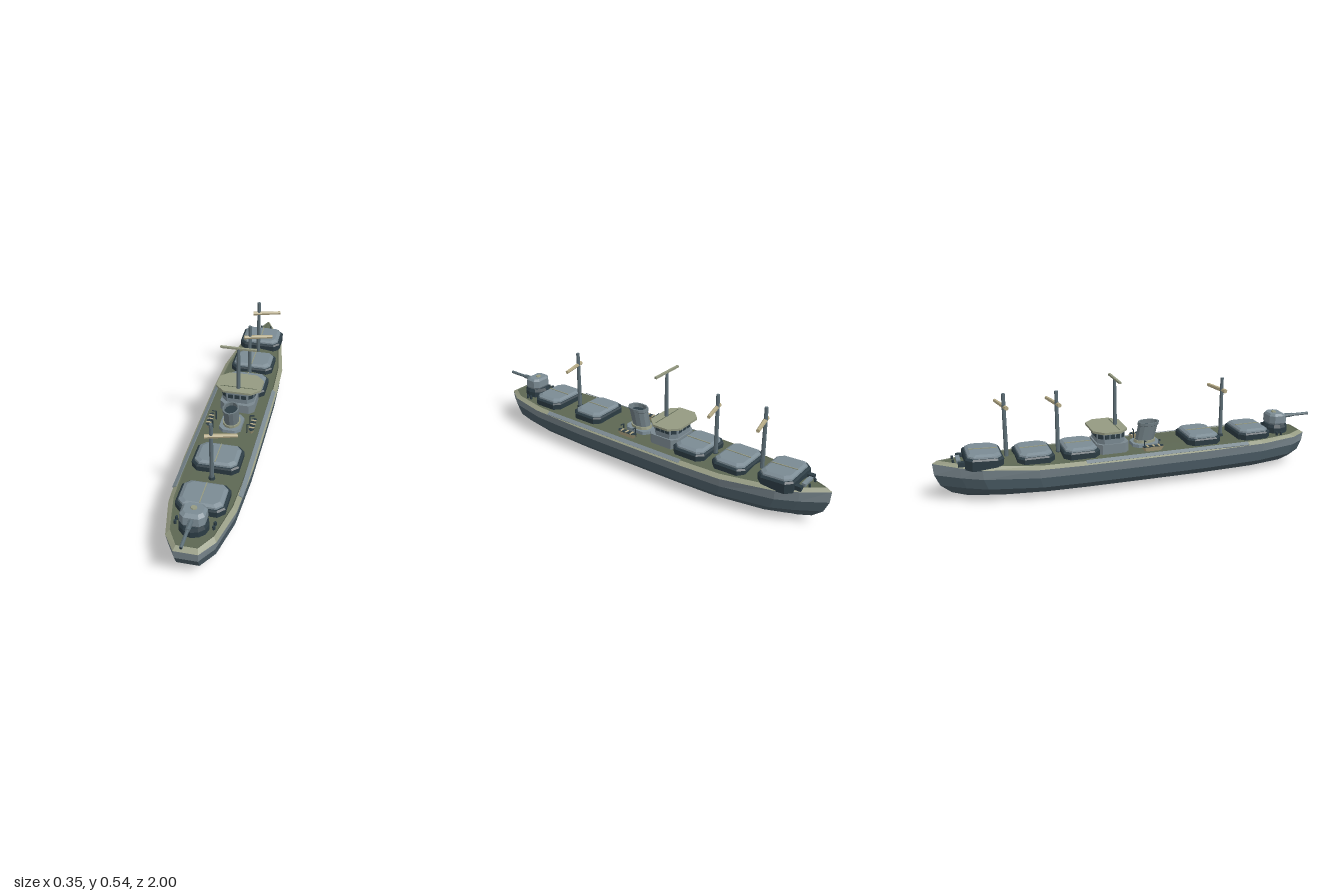
import * as THREE from 'three';

const mat = (name, color, side = THREE.FrontSide) => {
  const m = new THREE.MeshStandardMaterial({ color, side });
  m.name = name;
  return m;
};

// Flat-shaded skin over stacked horizontal rings of [x, y, z], counter-clockwise from above
function loft(rings, capTop = true, capBottom = true) {
  const out = [];
  const n = rings[0].length;
  const tri = (...p) => p.forEach((v) => out.push(...v));
  for (let r = 0; r < rings.length - 1; r++) {
    for (let i = 0; i < n; i++) {
      const j = (i + 1) % n;
      const a = rings[r][i], b = rings[r][j], c = rings[r + 1][j], d = rings[r + 1][i];
      tri(a, b, c);
      tri(a, c, d);
    }
  }
  const cap = (ring, up) => {
    const mid = [0, 1, 2].map((k) => ring.reduce((s, p) => s + p[k], 0) / n);
    for (let i = 0; i < n; i++) {
      const j = (i + 1) % n;
      if (up) tri(mid, ring[i], ring[j]);
      else tri(mid, ring[j], ring[i]);
    }
  };
  if (capTop) cap(rings[rings.length - 1], true);
  if (capBottom) cap(rings[0], false);
  const g = new THREE.BufferGeometry();
  g.setAttribute('position', new THREE.Float32BufferAttribute(out, 3));
  g.computeVertexNormals();
  return g;
}

// Rectangle with cut corners
const octagon = (w, d, c, y, z = 0) =>
  [[w, d - c], [w, c - d], [w - c, -d], [c - w, -d], [-w, c - d], [-w, d - c], [c - w, d], [w - c, d]]
    .map(([x, zz]) => [x, y, z + zz]);

const ellipse = (rx, rz, y, z, n = 12) =>
  Array.from({ length: n }, (_, i) => {
    const a = (i / n) * Math.PI * 2;
    return [rx * Math.cos(a), y, z - rz * Math.sin(a)];
  });

// Half outline of the hull from stern to bow: [half width, z]
const HALF = [[0.055, 0.945], [0.112, 0.86], [0.157, 0.66], [0.173, 0.35], [0.174, 0], [0.173, -0.3],
  [0.164, -0.52], [0.115, -0.78], [0.07, -0.88], [0.001, -1]];

function hullRing(sx, sz, y, lift = 1) {
  const side = HALF.map(([x, z]) => [x * sx, y + 0.03 * lift * Math.max(0, (-z - 0.55) / 0.45) ** 1.5, z * sz]);
  return side.concat([...side].reverse().map(([x, yy, z]) => [-x, yy, z]));
}

export function createModel() {
  const root = new THREE.Group();
  root.name = 'cargoShip';
  const M = {
    hull: mat('hull grey', 0x7a888f),
    lower: mat('lower hull grey', 0x4a5b64),
    deck: mat('deck green', 0x5d6753),
    trim: mat('pale olive', 0x959a82),
    dark: mat('dark slate', 0x2c3c44),
    cover: mat('cover grey', 0x7b8b94),
    mast: mat('mast grey', 0x5d6e76),
    khaki: mat('khaki', 0xb5aa86),
    black: mat('near black', 0x1b2428),
    funnel: mat('funnel grey', 0x6c7a80, THREE.DoubleSide),
  };
  const add = (name, geo, m, parent = root) => {
    const mesh = new THREE.Mesh(geo, m);
    mesh.name = name;
    parent.add(mesh);
    return mesh;
  };
  const box = (name, w, h, d, x, y, z, m, parent) => {
    const b = add(name, new THREE.BoxGeometry(w, h, d), m, parent);
    b.position.set(x, y, z);
    return b;
  };
  // Straight round bar between two points
  const rod = (name, a, b, r0, r1, m, sides = 8, parent = root) => {
    const p = new THREE.Vector3(...a), q = new THREE.Vector3(...b);
    const g = new THREE.CylinderGeometry(r1, r0, p.distanceTo(q), sides).toNonIndexed();
    g.computeVertexNormals();
    const mesh = add(name, g, m, parent);
    mesh.position.copy(p).add(q).multiplyScalar(0.5);
    mesh.quaternion.setFromUnitVectors(new THREE.Vector3(0, 1, 0), q.sub(p).normalize());
    return mesh;
  };

  // Hull bands, gunwale and deck
  add('lowerHull', loft([
    hullRing(0.15, 0.7, 0, 0), hullRing(0.43, 0.85, 0.009, 0.1), hullRing(0.73, 0.92, 0.03, 0.2),
    hullRing(0.925, 0.97, 0.065, 0.4), hullRing(0.945, 0.995, 0.115, 0.6)], false), M.lower);
  add('upperHull', loft([hullRing(0.945, 0.995, 0.115, 0.6), hullRing(1, 1, 0.16)], false, false), M.hull);
  add('gunwale', loft([hullRing(1, 1, 0.16), hullRing(0.87, 0.975, 0.174)], false, false), M.trim);
  add('deck', loft([hullRing(0.87, 0.975, 0.174), hullRing(0.84, 0.968, 0.17)], true, false), M.deck);
  for (const s of [1, -1]) {
    box('sideRail', 0.022, 0.004, 0.86, s * 0.155, 0.17, 0.14, M.hull).rotation.z = -s * 0.53;
  }

  // Cargo hatches
  const hatch = (z, y, h, tilt = 0) => {
    const g = new THREE.Group();
    g.name = 'cargoHatch';
    g.position.set(0, y, z);
    g.rotation.x = tilt;
    root.add(g);
    add('coaming', loft([octagon(0.113, 0.09, 0.03, -0.015), octagon(0.115, 0.091, 0.03, h * 0.8),
      octagon(0.108, 0.085, 0.028, h)]), M.dark, g);
    add('hatchCover', loft([octagon(0.103, 0.08, 0.026, h - 0.002), octagon(0.101, 0.078, 0.026, h + 0.008),
      octagon(0.085, 0.065, 0.024, h + 0.016)]), M.cover, g);
    box('hatchBeam', 0.005, 0.004, 0.135, 0, h + 0.017, 0, M.trim, g);
  };
  [0.635, 0.35, -0.295, -0.52].forEach((z) => hatch(z, 0.17, 0.036));
  hatch(-0.765, 0.182, 0.042, 0.05);

  // Masts with slanted booms
  for (const [z, top] of [[0.48, 0.487], [-0.395, 0.493], [-0.65, 0.502]]) {
    const y = top - 0.066;
    rod('mast', [0, 0.16, z], [0, top, z], 0.011, 0.009, M.mast);
    rod('boom', [-0.03, y, z + 0.009], [0.116, y + 0.003, z - 0.026], 0.011, 0.009, M.khaki, 6);
    rod('mastFoot', [0, 0.165, z], [0, 0.185, z], 0.018, 0.014, M.dark);
  }

  // Bridge, windows and canopy
  add('bridgeBase', loft([octagon(0.09, 0.083, 0.025, 0.165, -0.132), octagon(0.09, 0.083, 0.025, 0.222, -0.132)]), M.hull);
  add('wheelhouse', loft([octagon(0.083, 0.07, 0.03, 0.222, -0.138), octagon(0.085, 0.072, 0.03, 0.284, -0.138)]), M.cover);
  add('bridgeRoof', loft([octagon(0.118, 0.088, 0.045, 0.283, -0.147), octagon(0.118, 0.088, 0.045, 0.294, -0.147)]), M.trim);
  box('roofSeam', 0.19, 0.002, 0.004, 0, 0.294, -0.105, M.deck);
  for (let i = -1; i <= 1; i++) {
    for (const s of [1, -1]) {
      box('sideWindow', 0.004, 0.022, 0.022, s * 0.0845, 0.259, -0.138 + i * 0.027, M.dark);
      box('endWindow', 0.026, 0.022, 0.004, i * 0.034, 0.259, -0.138 + s * 0.0715, M.dark);
    }
  }
  for (const sx of [1, -1]) for (const sz of [1, -1]) {
    box('cornerWindow', 0.028, 0.022, 0.004, sx * 0.0695, 0.259, -0.138 + sz * 0.0565, M.dark).rotation.y = sx * sz * Math.PI / 4;
  }
  rod('mainMastLower', [0, 0.28, -0.1], [0, 0.49, -0.1], 0.01, 0.009, M.mast);
  rod('mainMastUpper', [0, 0.49, -0.1], [0, 0.528, -0.1], 0.008, 0.007, M.mast);
  box('mainYard', 0.184, 0.01, 0.012, 0, 0.53, -0.1, M.trim);

  // Raked funnel on a low house
  add('funnelHouse', loft([octagon(0.057, 0.075, 0.025, 0.165, 0.057), octagon(0.055, 0.072, 0.025, 0.19, 0.057)]), M.cover);
  add('funnelCollar', loft([ellipse(0.046, 0.058, 0.188, 0.055), ellipse(0.044, 0.056, 0.203, 0.058)]), M.trim);
  add('funnel', loft([ellipse(0.038, 0.05, 0.19, 0.054), ellipse(0.038, 0.052, 0.275, 0.074),
    ellipse(0.042, 0.056, 0.278, 0.075), ellipse(0.042, 0.056, 0.292, 0.078),
    ellipse(0.034, 0.047, 0.292, 0.078), ellipse(0.033, 0.046, 0.265, 0.072)], false, false), M.funnel);
  add('funnelOpening', loft([ellipse(0.033, 0.046, 0.268, 0.073), ellipse(0.033, 0.046, 0.272, 0.073)]), M.dark);

  // Lifeboats with davits
  for (const s of [1, -1]) {
    const g = new THREE.Group();
    g.name = 'lifeboat';
    g.position.set(s * 0.11, 0, 0.065);
    root.add(g);
    add('boatHull', loft([octagon(0.008, 0.045, 0.007, 0.174), octagon(0.017, 0.062, 0.014, 0.198)], false), M.khaki, g);
    add('boatInside', loft([octagon(0.013, 0.055, 0.011, 0.197), octagon(0.013, 0.055, 0.011, 0.199)]), M.dark, g);
    for (const z of [-0.03, 0, 0.03]) box('thwart', 0.026, 0.003, 0.009, 0, 0.2, z, M.khaki, g);
    for (const z of [-0.038, 0.038]) {
      rod('davitPost', [-s * 0.022, 0.165, z], [-s * 0.022, 0.222, z], 0.004, 0.003, M.dark, 6, g);
      rod('davitArm', [-s * 0.022, 0.221, z], [0, 0.224, z], 0.003, 0.003, M.dark, 6, g);
    }
  }

  // Stern gun
  add('gunBase', loft([ellipse(0.068, 0.066, 0.16, 0.8), ellipse(0.068, 0.066, 0.2, 0.8), ellipse(0.06, 0.058, 0.216, 0.8)]), M.dark);
  add('gunTurret', loft([octagon(0.053, 0.044, 0.02, 0.214, 0.8), octagon(0.058, 0.05, 0.022, 0.225, 0.8),
    octagon(0.056, 0.047, 0.022, 0.262, 0.798), octagon(0.044, 0.034, 0.017, 0.273, 0.793)]), M.cover);
  add('turretHatch', loft([ellipse(0.016, 0.014, 0.272, 0.79, 8), ellipse(0.014, 0.012, 0.278, 0.79, 8)]), M.trim);
  rod('barrelSleeve', [0, 0.246, 0.83], [0, 0.246, 0.9], 0.013, 0.011, M.mast);
  rod('gunBarrel', [0, 0.246, 0.89], [0, 0.246, 1], 0.008, 0.008, M.mast);
  rod('muzzle', [0, 0.246, 0.995], [0, 0.246, 1.0005], 0.005, 0.005, M.black);

  // Bollards and bow gear
  for (const s of [1, -1]) {
    for (const z of [0.77, 0.795]) rod('bollard', [s * 0.086, 0.165, z], [s * 0.086, 0.188, z], 0.007, 0.007, M.dark, 6);
    box('anchorGear', 0.024, 0.022, 0.035, s * 0.062, 0.195, -0.868, M.dark);
    rod('bowBollard', [s * 0.028, 0.185, -0.905], [s * 0.028, 0.21, -0.905], 0.006, 0.006, M.dark, 6);
  }
  box('windlass', 0.075, 0.016, 0.02, 0, 0.2, -0.88, M.cover);
  return root;
}
